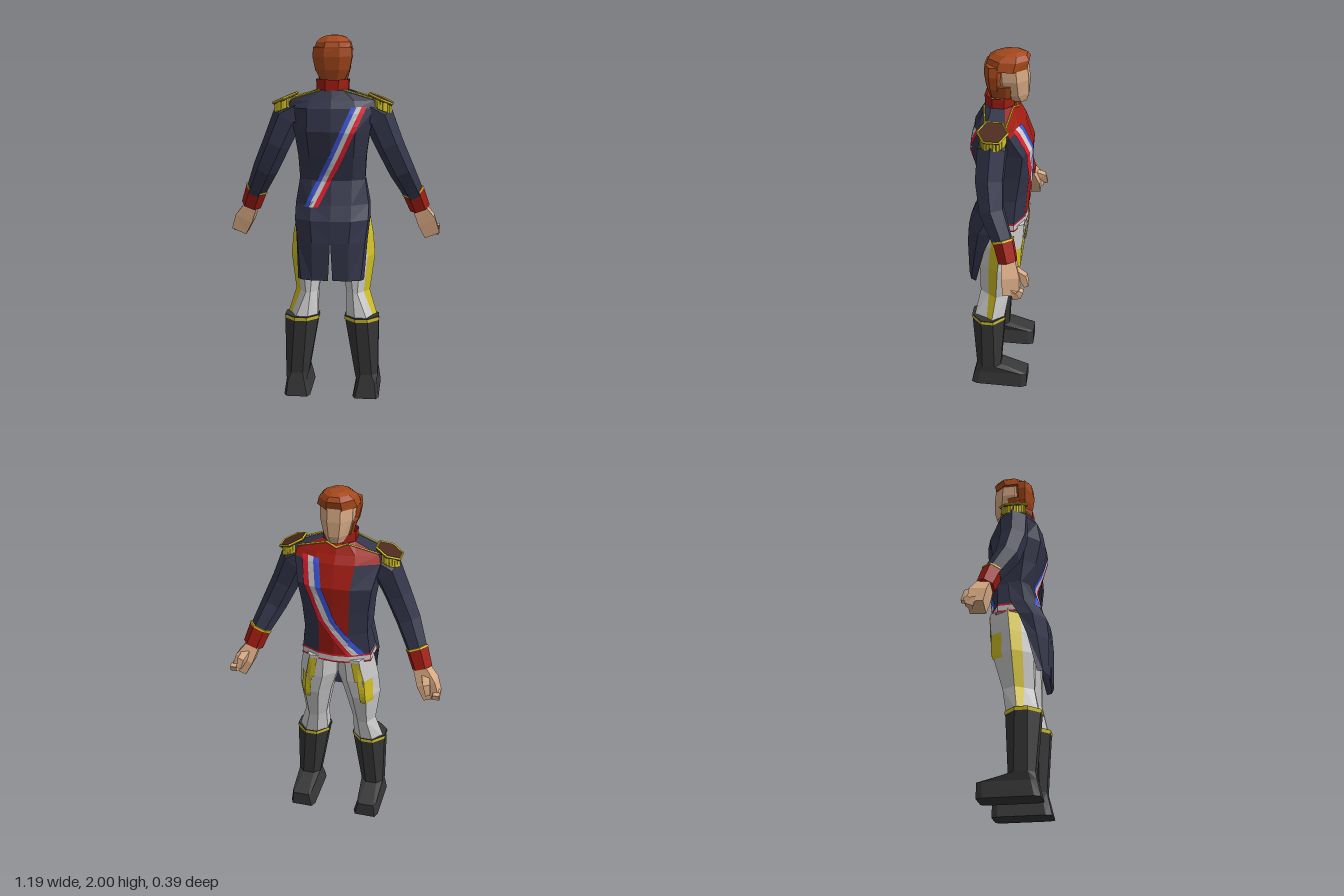
import * as THREE from 'three';
import { mergeGeometries } from 'three/addons/utils/BufferGeometryUtils.js';

const mat = (color, side = THREE.FrontSide) => new THREE.MeshStandardMaterial({ color, side, flatShading: true });
const NAVY = 0x33354a, RED = 0xa01c12, GOLD = 0xd2c024, WHITE = 0xcccccc, BLUE = 0x3c55d8, SASHRED = 0xdc2030;
const SKIN = 0xd9ab85, HAIR = 0xa4481b, BLACK = 0x363636, BROWN = 0x4c2a1c;

// Skin a stack of rings (counter-clockwise about the stacking direction); keep(i, j) selects faces
function loft(rings, { closed = true, caps = true, keep = () => true } = {}) {
  const p = [], n = rings[0].length, top = rings.length - 1;
  const tri = (a, b, c) => p.push(...a, ...b, ...c);
  for (let i = 0; i < top; i++) for (let j = 0; j < (closed ? n : n - 1); j++) {
    if (!keep(i, j)) continue;
    const k = (j + 1) % n, [a, b, c, d] = [rings[i][j], rings[i][k], rings[i + 1][k], rings[i + 1][j]];
    tri(a, b, c); tri(a, c, d);
  }
  if (closed && caps) for (let j = 1; j < n - 1; j++) {
    tri(rings[0][0], rings[0][j + 1], rings[0][j]);
    tri(rings[top][0], rings[top][j], rings[top][j + 1]);
  }
  const g = new THREE.BufferGeometry();
  g.setAttribute('position', new THREE.Float32BufferAttribute(p, 3));
  g.computeVertexNormals();
  return g;
}

// Level eight-sided section: a box outline with cut corners
function sect(y, x0, x1, zf, zb, c = 0.3) {
  const cx = (x1 - x0) * c, cz = (zb - zf) * c;
  return [[x0 + cx, zb], [x1 - cx, zb], [x1, zb - cz], [x1, zf + cz],
    [x1 - cx, zf], [x0 + cx, zf], [x0, zf + cz], [x0, zb - cz]].map(([x, z]) => [x, y, z]);
}

// Limb along nodes [x, y, z, radiusA, radiusB]
function limb(nodes, n = 6, ref = [0, 0, 1], turn = 0) {
  const v = nodes.map(a => new THREE.Vector3(a[0], a[1], a[2])), r = new THREE.Vector3(...ref);
  return loft(nodes.map((a, i) => {
    const t = v[Math.min(i + 1, v.length - 1)].clone().sub(v[Math.max(i - 1, 0)]).normalize();
    const u = t.clone().cross(r).normalize(), w = t.clone().cross(u);
    return Array.from({ length: n }, (_, k) => {
      const q = turn + k / n * Math.PI * 2;
      return v[i].clone().addScaledVector(u, Math.cos(q) * a[3]).addScaledVector(w, Math.sin(q) * a[4]).toArray();
    });
  }));
}

// Cloth strip laid over a surface from the front (s = -1) or back (s = 1); rows are [y, x0, x1]
function drape(surface, rows, s, steps = 6) {
  const target = new THREE.Mesh(surface, mat(WHITE, THREE.DoubleSide)), ray = new THREE.Raycaster(), grid = [];
  let z = 0;
  for (let i = 0; i < rows.length - 1; i++) for (let k = i ? 1 : 0; k <= steps; k++) {
    const [y, a, b] = rows[i].map((q, m) => THREE.MathUtils.lerp(q, rows[i + 1][m], k / steps));
    grid.push([a, (a + b) / 2, b].map(x => {
      ray.set(new THREE.Vector3(x, y, s * 2), new THREE.Vector3(0, 0, -s));
      const hit = ray.intersectObject(target)[0];
      if (hit) z = hit.point.z;
      return [x, y, z + s * 0.007];
    }));
  }
  return loft(grid, { closed: false });
}

function mirrored(geo) {
  const g = geo.index ? geo.toNonIndexed() : geo.clone(), p = g.attributes.position, q = p.clone();
  for (let i = 0; i < p.count; i += 3) [0, 2, 1].forEach((m, k) => p.setXYZ(i + k, -q.getX(i + m), q.getY(i + m), q.getZ(i + m)));
  g.computeVertexNormals();
  return g;
}

function rod(a, b, r) {
  return new THREE.TubeGeometry(new THREE.LineCurve3(new THREE.Vector3(...a), new THREE.Vector3(...b)), 1, r, 4);
}

export function createModel() {
  const model = new THREE.Group();
  const add = (name, geo, color, side) => {
    const m = new THREE.Mesh(geo, mat(color, side));
    m.name = name;
    model.add(m);
  };
  const pair = (name, geo, color, side) => {
    add(name + 'Left', geo, color, side);
    add(name + 'Right', mirrored(geo), color, side);
  };
  const two = THREE.DoubleSide;

  // Torso levels: y, back centre z, back x/z, side x, side back z, side front z, front x/z, front centre z
  const torsoRing = ([y, zB, xb, zb, xs, zsb, zsf, xf, zf, zF]) => {
    const half = [[xb, y, zb], [xs, y, zsb], [xs * 0.97, y, zsf], [xf, y, zf]];
    return [[0, y, zB], ...half, [0, y, zF], ...half.slice().reverse().map(([x, h, z]) => [-x, h, z])];
  };
  const waist = [0.13, 0.11, 0.11, 0.195, 0.06, -0.07, 0.085, -0.12, -0.13];
  const torso = [
    [1.08, ...waist],
    [1.22, 0.11, 0.11, 0.095, 0.178, 0.05, -0.08, 0.08, -0.13, -0.14],
    [1.36, 0.145, 0.12, 0.13, 0.185, 0.07, -0.1, 0.085, -0.142, -0.147],
    [1.5, 0.175, 0.13, 0.16, 0.205, 0.09, -0.115, 0.09, -0.15, -0.153],
    [1.62, 0.155, 0.13, 0.14, 0.235, 0.08, -0.05, 0.105, -0.1, -0.115],
    [1.66, 0.13, 0.12, 0.115, 0.225, 0.07, -0.03, 0.1, -0.07, -0.085],
    [1.715, 0.1, 0.06, 0.095, 0.09, 0.06, -0.01, 0.055, -0.045, -0.055],
  ].map(torsoRing);
  const isVest = (i, j) => j === 4 || j === 5 || (i >= 4 && (j === 3 || j === 6));
  const torsoShape = loft(torso);
  add('coat', loft(torso, { keep: (i, j) => !isVest(i, j) }), NAVY);
  add('frontPanel', loft(torso, { keep: isVest, caps: false }), RED);

  // Waistband: white with red edges
  const band = (y0, y1, k, caps) => loft([y0, y1].map(y => torsoRing([y, ...waist.map(q => q * k)])), { caps });
  add('waistband', band(1.042, 1.088, 1.012, true), WHITE);
  add('waistbandLowerEdge', band(1.042, 1.051, 1.022, false), SASHRED);
  add('waistbandUpperEdge', band(1.08, 1.09, 1.022, false), SASHRED);

  // Split coat tails
  const tail = loft([
    [0.69, 0.012, 0.19, 0.1, 0.19, 0.165, 0.17, 0.182, 0.14],
    [0.9, 0.001, 0.195, 0.1, 0.195, 0.185, 0.14, 0.196, 0.09],
    [1.02, 0, 0.19, 0.11, 0.185, 0.2, 0.12, 0.208, 0.045],
    [1.1, 0, 0.155, 0.11, 0.145, 0.2, 0.075, 0.206, 0],
    [1.23, 0, 0.115, 0.11, 0.1, 0.18, 0.055, 0.18, -0.02],
  ].map(([y, ...q]) => [0, 2, 4, 6].map(k => [q[k], y, q[k + 1]])), { closed: false });
  pair('coatTail', tail, NAVY, two);

  // Diagonal three-colour sash
  const backShape = mergeGeometries([torsoShape, tail, mirrored(tail)]);
  const backPath = [[1.09, -0.15], [1.36, -0.015], [1.63, 0.108]];
  const frontPath = [[1.09, -0.165], [1.3, -0.015], [1.5, 0.06], [1.64, 0.085]];
  [BLUE, WHITE, SASHRED].forEach((color, k) => {
    const rows = (path, w) => path.map(([y, x]) => [y, x + k * w, x + (k + 1) * w]);
    add('sashBack' + k, drape(backShape, rows(backPath, 0.027), 1, 8), color, two);
    add('sashFront' + k, drape(torsoShape, rows(frontPath, 0.033), -1), color, two);
  });

  // Collar, neck and shoulder piping
  add('collar', loft([sect(1.69, -0.085, 0.085, -0.055, 0.1), sect(1.77, -0.088, 0.088, -0.05, 0.1)], { caps: false }), RED, two);
  add('neck', loft([sect(1.68, -0.065, 0.065, -0.04, 0.075), sect(1.82, -0.06, 0.06, -0.05, 0.065)]), SKIN);
  pair('pipingBack', rod([0.06, 1.718, 0.1], [0.215, 1.67, 0.075], 0.005), GOLD);
  pair('pipingFront', rod([0.055, 1.715, -0.05], [0.215, 1.67, -0.03], 0.005), GOLD);
  pair('pipingCollar', rod([0, 1.695, -0.068], [0.06, 1.718, -0.05], 0.005), GOLD);

  // Head and hair
  add('head', loft([
    sect(1.74, -0.042, 0.042, -0.115, -0.03), sect(1.78, -0.066, 0.066, -0.126, 0.04),
    sect(1.86, -0.085, 0.085, -0.126, 0.06), sect(1.95, -0.085, 0.085, -0.115, 0.06)]), SKIN);
  add('hairBack', loft([
    sect(1.76, -0.06, 0.06, 0.02, 0.075), sect(1.82, -0.092, 0.092, 0, 0.092),
    sect(1.89, -0.106, 0.106, -0.005, 0.102), sect(1.94, -0.102, 0.102, -0.005, 0.098)]), HAIR);
  add('hairTop', loft([
    sect(1.92, -0.104, 0.104, -0.116, 0.1), sect(1.965, -0.09, 0.09, -0.126, 0.08),
    sect(1.988, -0.066, 0.066, -0.112, 0.045), sect(2, -0.035, 0.035, -0.085, -0.01)]), HAIR);
  pair('sideburn', loft([sect(1.765, 0.05, 0.075, -0.04, 0.04), sect(1.835, 0.07, 0.095, -0.038, 0.04)]), HAIR);

  // Arms, cuffs and hands
  pair('sleeve', limb([
    [0.18, 1.6, 0.03, 0.07, 0.075], [0.25, 1.56, 0.032, 0.086, 0.082], [0.31, 1.42, 0.038, 0.076, 0.08],
    [0.375, 1.28, 0.018, 0.07, 0.07], [0.445, 1.135, -0.05, 0.056, 0.055]]), NAVY);
  pair('cuff', limb([[0.44, 1.15, -0.05, 0.062, 0.058], [0.478, 1.05, -0.078, 0.057, 0.053]]), RED);
  pair('cuffTrim', limb([[0.437, 1.156, -0.048, 0.065, 0.061], [0.441, 1.147, -0.051, 0.065, 0.061]]), GOLD);
  const q = Math.PI / 4;
  pair('palm', limb([[0.47, 1.06, -0.08, 0.05, 0.05], [0.515, 0.98, -0.1, 0.073, 0.066], [0.548, 0.9, -0.108, 0.062, 0.06]], 4, [0, 0, 1], q), SKIN);
  pair('fingers', limb([[0.56, 0.92, -0.12, 0.04, 0.04], [0.572, 0.925, -0.15, 0.028, 0.03], [0.572, 0.945, -0.158, 0.018, 0.024]], 4, [1, 0, 0], q), SKIN);
  pair('thumb', limb([[0.505, 1.01, -0.115, 0.035, 0.03], [0.52, 0.99, -0.165, 0.03, 0.026], [0.532, 0.945, -0.182, 0.016, 0.018]], 4, [1, 0, 0], q), SKIN);

  // Epaulettes: tilted hexagon, gold rim, hanging fringe
  const place = g => g.rotateZ(-0.4).translate(0.258, 1.664, 0.028);
  pair('epaulette', place(new THREE.CylinderGeometry(0.078, 0.078, 0.012, 6)), BROWN);
  pair('epauletteRim', place(new THREE.TorusGeometry(0.077, 0.007, 4, 6).rotateX(Math.PI / 2).rotateY(Math.PI / 2).translate(0, 0.004, 0)), GOLD);
  const fringe = [];
  for (let k = 0; k < 17; k++) {
    const a = (k / 16 - 0.5) * 3.9, x = Math.cos(a) * 0.054;
    fringe.push(new THREE.BoxGeometry(0.012, 0.05, 0.013).rotateY(-a)
      .translate(0.258 + x, 1.638 - x * 0.42, 0.028 + Math.sin(a) * 0.062));
  }
  pair('epauletteFringe', mergeGeometries(fringe), GOLD);

  // Trousers: the outer facet turns backward to carry the side stripe (zs = its front edge, w = width)
  const legRing = (y, x0, x1, zf, zb, zs, w) => {
    const r = sect(y, x0, x1, zf, zb);
    r[1][0] = Math.min(r[1][0], x1 - w - 0.02);
    r[2] = [x1 - w * 0.7, y, zs + w];
    r[3] = [x1, y, zs];
    return r;
  };
  const leg = [
    legRing(0.45, 0.08, 0.255, -0.02, 0.15, 0.045, 0.03), legRing(0.6, 0.08, 0.208, -0.045, 0.12, 0.025, 0.045),
    legRing(0.8, 0.04, 0.235, -0.1, 0.12, 0.012, 0.055), legRing(0.92, 0.004, 0.224, -0.115, 0.12, 0, 0.058),
    legRing(1.06, 0, 0.198, -0.122, 0.11, -0.015, 0.058)];
  pair('trouserLeg', loft(leg, { keep: (i, j) => j !== 2 }), WHITE);
  pair('trouserStripe', loft(leg, { keep: (i, j) => j === 2, caps: false }), GOLD);
  const legShape = loft(leg);
  pair('embroideryStem', drape(legShape, [[0.92, 0.115, 0.165], [1.045, 0.095, 0.14]], -1), GOLD, two);
  pair('embroideryBlock', drape(legShape, [[0.77, 0.145, 0.208], [0.92, 0.13, 0.2]], -1), GOLD, two);

  // Boots: sole, toe, ankle and shaft, with a gold band below the rim
  pair('boot', loft([
    sect(0, 0.12, 0.268, -0.16, 0.165, 0.1), sect(0.085, 0.142, 0.256, -0.16, 0.145, 0.1),
    sect(0.13, 0.13, 0.26, -0.005, 0.135, 0.25), sect(0.468, 0.072, 0.262, -0.025, 0.162, 0.32)]), BLACK);
  pair('bootTrim', loft([sect(0.446, 0.073, 0.264, -0.027, 0.164, 0.32), sect(0.464, 0.07, 0.265, -0.028, 0.166, 0.32)], { caps: false }), GOLD);
  return model;
}
